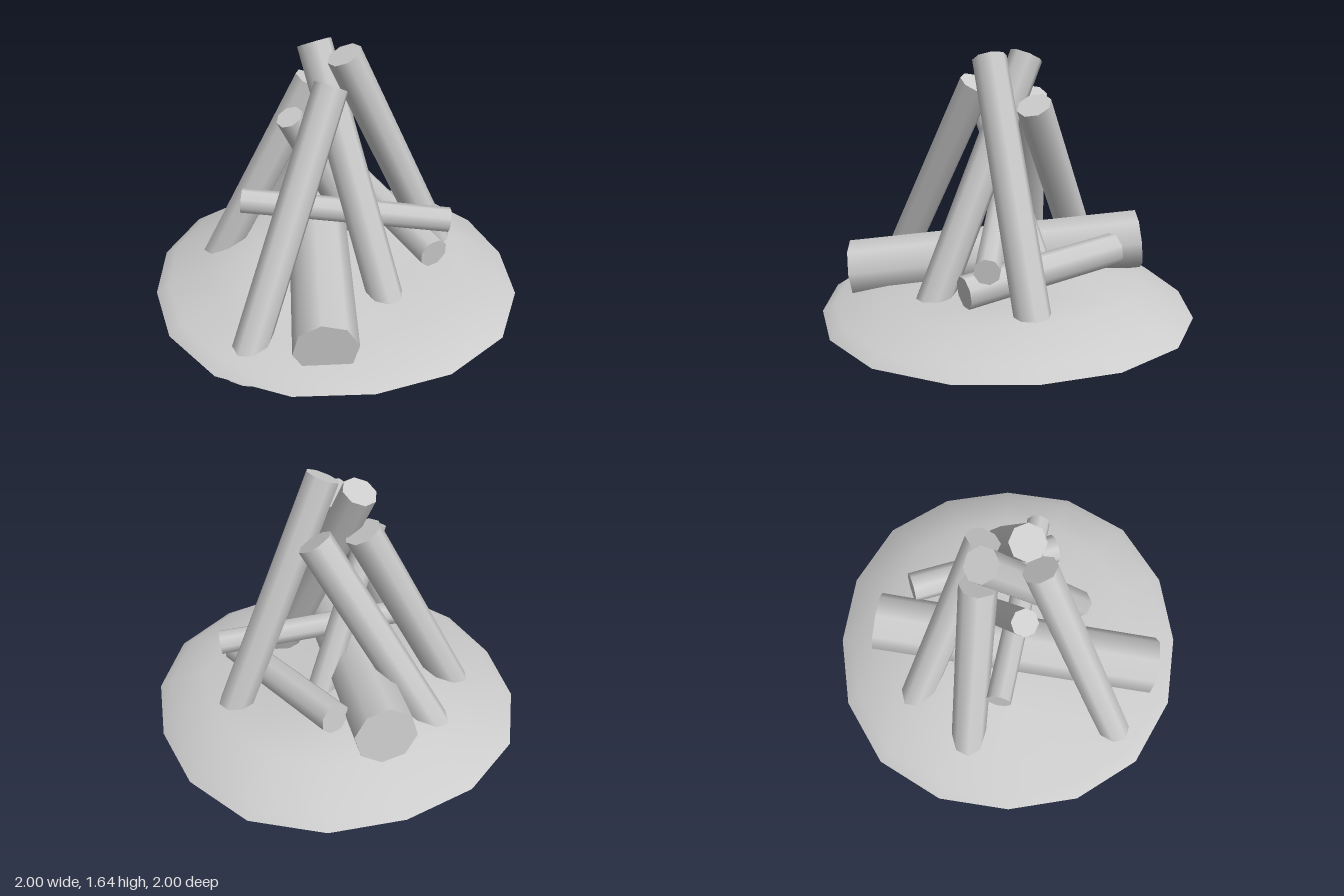
import * as THREE from 'three';
import { mergeVertices } from 'three/addons/utils/BufferGeometryUtils.js';

const SIDES = 8;
const material = new THREE.MeshStandardMaterial({ color: 0xcccccc, side: THREE.DoubleSide });
const UP = new THREE.Vector3(0, 1, 0);

// Log between two points; the first end is always capped, the second only if asked
function makeLog(name, from, to, radius, endRadius, capBoth) {
  const a = new THREE.Vector3(...from);
  const b = new THREE.Vector3(...to);
  const axis = a.clone().sub(b);
  const length = axis.length();
  const log = new THREE.Group();
  log.name = name;

  const bark = new THREE.Mesh(
    new THREE.CylinderGeometry(radius, endRadius, length, SIDES, 1, true), material);
  bark.name = name + 'Bark';
  log.add(bark);

  for (const end of capBoth ? [1, -1] : [1]) {
    const cap = new THREE.Mesh(
      new THREE.CircleGeometry(end > 0 ? radius : endRadius, SIDES), material);
    cap.name = name + 'Cap';
    cap.rotation.x = -end * Math.PI / 2;
    cap.position.y = end * length / 2;
    log.add(cap);
  }
  log.position.copy(a).add(b).multiplyScalar(0.5);
  log.quaternion.setFromUnitVectors(UP, axis.normalize());
  return log;
}

// Open ash mound from uneven rings: radius, height, rise towards +x, rise towards +z
function makeMound() {
  const rings = [
    [1, 0.26, 0, 0],
    [0.93, 0.308, 0, 0],
    [0.72, 0.385, 0.03, -0.03],
    [0.45, 0.44, -0.03, -0.05],
    [0, 0.475, 0, 0],
  ];
  const profile = rings.map(([r, y]) => new THREE.Vector2(r, y));
  let geometry = new THREE.LatheGeometry(profile, 16);
  const pos = geometry.attributes.position;
  for (let i = 0; i < pos.count; i++) {
    const [r, y, riseX, riseZ] = rings[i % rings.length];
    const angle = Math.floor(i / rings.length) * Math.PI / 8;
    const sx = Math.sin(angle), cz = Math.cos(angle);
    // the outline bulges slightly on the diagonals
    const radius = r * (1 + 0.035 * Math.sin(2 * angle) ** 2);
    pos.setXYZ(i, radius * sx, y + riseX * sx + riseZ * cz, radius * cz);
  }
  geometry.deleteAttribute('uv');
  geometry.deleteAttribute('normal');
  geometry = mergeVertices(geometry);
  geometry.computeVertexNormals();
  const mound = new THREE.Mesh(geometry, material);
  mound.name = 'ashMound';
  return mound;
}

export function createModel() {
  const model = new THREE.Group();
  model.name = 'campfire';
  model.add(makeMound());

  // Leaning logs: top end, buried end, radius at each end
  const leaning = [
    [[0.03, 1.6, 0.09], [0.665, 0.24, -0.06], 0.09, 0.093],
    [[-0.045, 1.465, 0.15], [-0.605, 0.155, 0.66], 0.09, 0.092],
    [[-0.09, 1.39, -0.14], [-0.77, 0.045, -0.25], 0.095, 0.096],
    [[0.15, 1.37, -0.12], [-0.485, 0.11, -0.625], 0.092, 0.096],
    [[-0.08, 1.6, -0.12], [0.22, 0.24, 0.46], 0.09, 0.095],
    [[-0.245, 1.29, 0.08], [0.225, 0.29, -0.215], 0.07, 0.076],
  ];
  leaning.forEach(([a, b, r, e], i) =>
    model.add(makeLog('leaningLog' + (i + 1), a, b, r, e, false)));

  // Logs lying across the pile
  model.add(makeLog('thickLyingLog', [-0.205, 0.42, 0.835], [0.01, 0.59, -0.74], 0.162, 0.162, true));
  model.add(makeLog('mediumLyingLog', [0.49, 0.51, 0.28], [0.205, 0.605, -0.55], 0.085, 0.085, true));
  model.add(makeLog('thinLyingLog', [0.6, 0.65, 0.18], [-0.5, 0.765, -0.05], 0.067, 0.067, true));

  return model;
}
